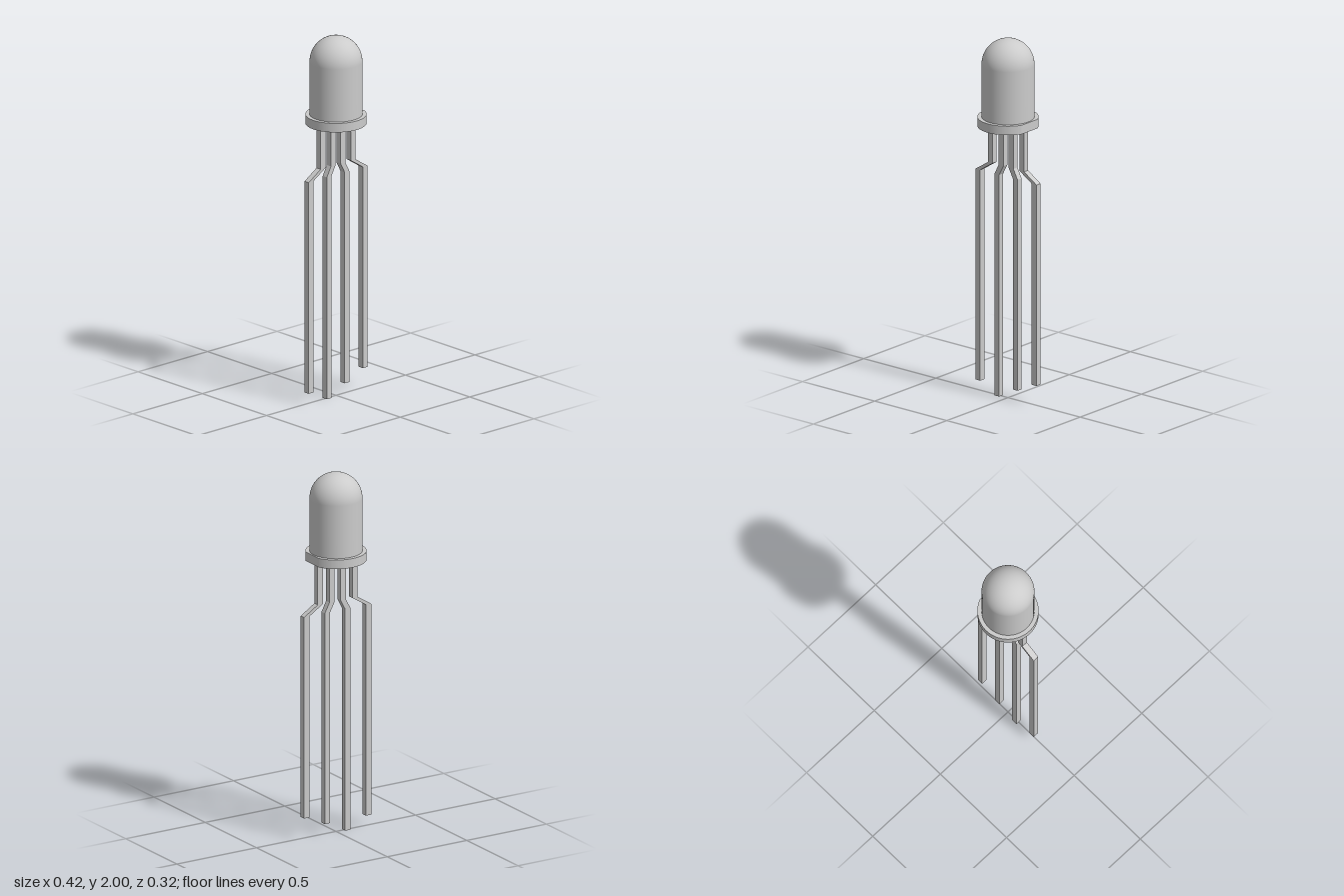
import * as THREE from 'three';

const material = new THREE.MeshStandardMaterial({ color: 0xcccccc });

function addMesh(group, name, geometry) {
  const mesh = new THREE.Mesh(geometry, material);
  mesh.name = name;
  group.add(mesh);
  return mesh;
}

// Square-section lead with a sheared kink, extruded along z
function leadGeometry(xTop, xBottom, yBottom) {
  const h = 0.0165, yTop = 1.517, kinkTop = 1.29, kinkBottom = 1.235;
  const path = [[xBottom, yBottom], [xBottom, kinkBottom], [xTop, kinkTop], [xTop, yTop]];
  const right = path.map(([x, y]) => new THREE.Vector2(x + h, y));
  const left = path.map(([x, y]) => new THREE.Vector2(x - h, y)).reverse();
  const geometry = new THREE.ExtrudeGeometry(new THREE.Shape([...right, ...left]), {
    depth: 2 * h, bevelEnabled: false,
  });
  return geometry.translate(0, 0, -h);
}

export function createModel() {
  const group = new THREE.Group();
  group.name = 'lightEmittingDiode';

  // Lens: straight wall running smoothly into a hemispherical dome
  const radius = 0.14, spring = 1.86;
  const profile = [new THREE.Vector2(radius, 1.56)];
  for (let i = 0; i <= 20; i++) {
    const a = (i / 20) * Math.PI / 2;
    profile.push(new THREE.Vector2(i === 20 ? 0 : radius * Math.cos(a), spring + radius * Math.sin(a)));
  }
  addMesh(group, 'domedLens', new THREE.LatheGeometry(profile, 64));

  // Base flange with one flat on the +x side
  const flangeRadius = 0.162, flatAngle = Math.acos(0.149 / flangeRadius);
  const outline = new THREE.Shape();
  outline.absarc(0, 0, flangeRadius, flatAngle, 2 * Math.PI - flatAngle, false);
  outline.closePath();
  const flange = new THREE.ExtrudeGeometry(outline, {
    depth: 0.05, bevelEnabled: false, curveSegments: 64,
  });
  flange.rotateX(-Math.PI / 2).translate(0, 1.517, 0);
  addMesh(group, 'baseFlange', flange);

  // Four leads of different lengths, splayed outward
  const leads = [
    ['outerRightLead', -0.109, -0.195, 0.06],
    ['innerRightLead', -0.035, -0.064, 0],
    ['innerLeftLead', 0.035, 0.064, 0.06],
    ['outerLeftLead', 0.109, 0.195, 0.115],
  ];
  for (const [name, xTop, xBottom, yBottom] of leads) {
    addMesh(group, name, leadGeometry(xTop, xBottom, yBottom));
  }
  return group;
}
